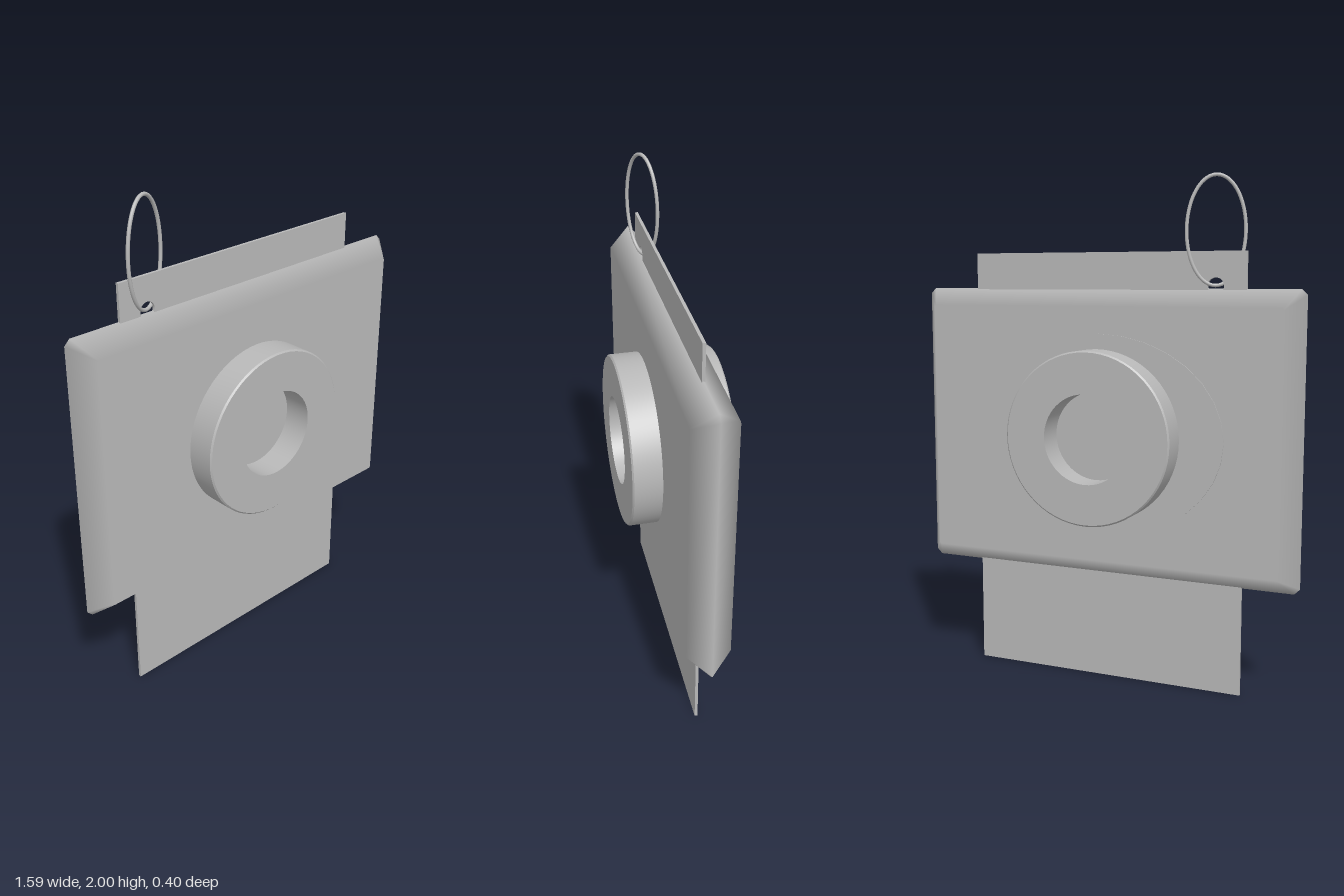
import * as THREE from 'three';
import { toCreasedNormals } from 'three/addons/utils/BufferGeometryUtils.js';

const CY = 1.003; // height of the body centre

// Counterclockwise rectangle with clipped corners
function clippedRect(w, h, c) {
  return [[w, -h + c], [w, h - c], [w - c, h], [-w + c, h], [-w, h - c], [-w, -h + c], [-w + c, -h], [w - c, -h]];
}

// Flat slab whose rim swells to a ridge; normals blend over the bevels
function bodyGeometry() {
  const inner = clippedRect(0.73, 0.503, 0.006);
  const outer = clippedRect(0.797, 0.572, 0.022);
  const n = inner.length;
  const positions = [], normals = [], index = [];
  const addRing = (ring, z, normalOf) => ring.forEach(([x, y], i) => {
    positions.push(x, y, z);
    normals.push(...normalOf(i));
  });
  const d = Math.SQRT1_2;
  const out = [[1, 0], [1, 0], [0, 1], [0, 1], [-1, 0], [-1, 0], [0, -1], [0, -1]];
  addRing(inner, 0.085, () => [0, 0, 1]);
  addRing(outer, 0, (i) => [out[i][0], out[i][1], 0].map((v) => v * d * Math.SQRT2));
  addRing(inner, -0.085, () => [0, 0, -1]);
  for (let r = 0; r < 2; r++) {
    for (let i = 0; i < n; i++) {
      const a = r * n + i, b = r * n + (i + 1) % n;
      index.push(a, a + n, b + n, a, b + n, b);
    }
  }
  for (let i = 1; i < n - 1; i++) {
    index.push(0, i, i + 1);
    index.push(2 * n, 2 * n + i + 1, 2 * n + i);
  }
  const g = new THREE.BufferGeometry();
  g.setAttribute('position', new THREE.Float32BufferAttribute(positions, 3));
  g.setAttribute('normal', new THREE.Float32BufferAttribute(normals, 3));
  g.setIndex(index);
  return g;
}

// Raised washer facing +z
function collarGeometry() {
  const profile = [[0.34, 0.08], [0.34, 0.194], [0.334, 0.2], [0.175, 0.2], [0.175, 0.08]]
    .map(([x, y]) => new THREE.Vector2(x, y));
  return toCreasedNormals(new THREE.LatheGeometry(profile, 64).rotateX(Math.PI / 2), 0.6);
}

export function createModel() {
  const group = new THREE.Group();
  const grey = new THREE.MeshStandardMaterial({ color: 0xb8b8b8 });
  grey.name = 'plain grey';

  const add = (name, geometry, x = 0, y = 0, z = 0) => {
    const mesh = new THREE.Mesh(geometry, grey);
    mesh.name = name;
    mesh.position.set(x, y, z);
    group.add(mesh);
    return mesh;
  };

  // Slab body
  add('body', bodyGeometry(), 0, CY);

  // Collars on both faces
  add('frontCollar', collarGeometry(), 0, CY);
  add('backCollar', collarGeometry(), 0, CY).rotation.y = Math.PI;

  // Small disc at the bottom of the front recess
  add('recessDisc', new THREE.CylinderGeometry(0.1, 0.1, 0.004, 48).rotateX(Math.PI / 2), 0, CY, 0.086);

  // Thin oval pad on the back
  const pad = new THREE.CylinderGeometry(1, 1, 0.008, 32).rotateX(Math.PI / 2).scale(0.515, 0.4, 1);
  add('backPad', pad, 0, CY, -0.085);

  // Card passing through the body, with a hole for the ring
  const card = new THREE.Shape();
  card.moveTo(-0.57, 0).lineTo(0.57, 0).lineTo(0.57, 1.715).lineTo(-0.57, 1.715).closePath();
  const hole = new THREE.Path();
  hole.absarc(-0.45, 1.585, 0.032, 0, Math.PI * 2, true);
  card.holes.push(hole);
  add('card', new THREE.ExtrudeGeometry(card, { depth: 0.012, bevelEnabled: false, curveSegments: 24 }), 0, 0, -0.006);

  // Oval wire ring, turned slightly
  const points = [];
  for (let i = 0; i < 32; i++) {
    const t = (i / 32) * Math.PI * 2;
    points.push(new THREE.Vector3(0.11 * Math.cos(t), 0.203 * Math.sin(t), 0));
  }
  const loop = new THREE.CatmullRomCurve3(points, true);
  add('ring', new THREE.TubeGeometry(loop, 80, 0.007, 10, true), -0.447, 1.79, 0).rotation.y = 0.38;

  return group;
}
